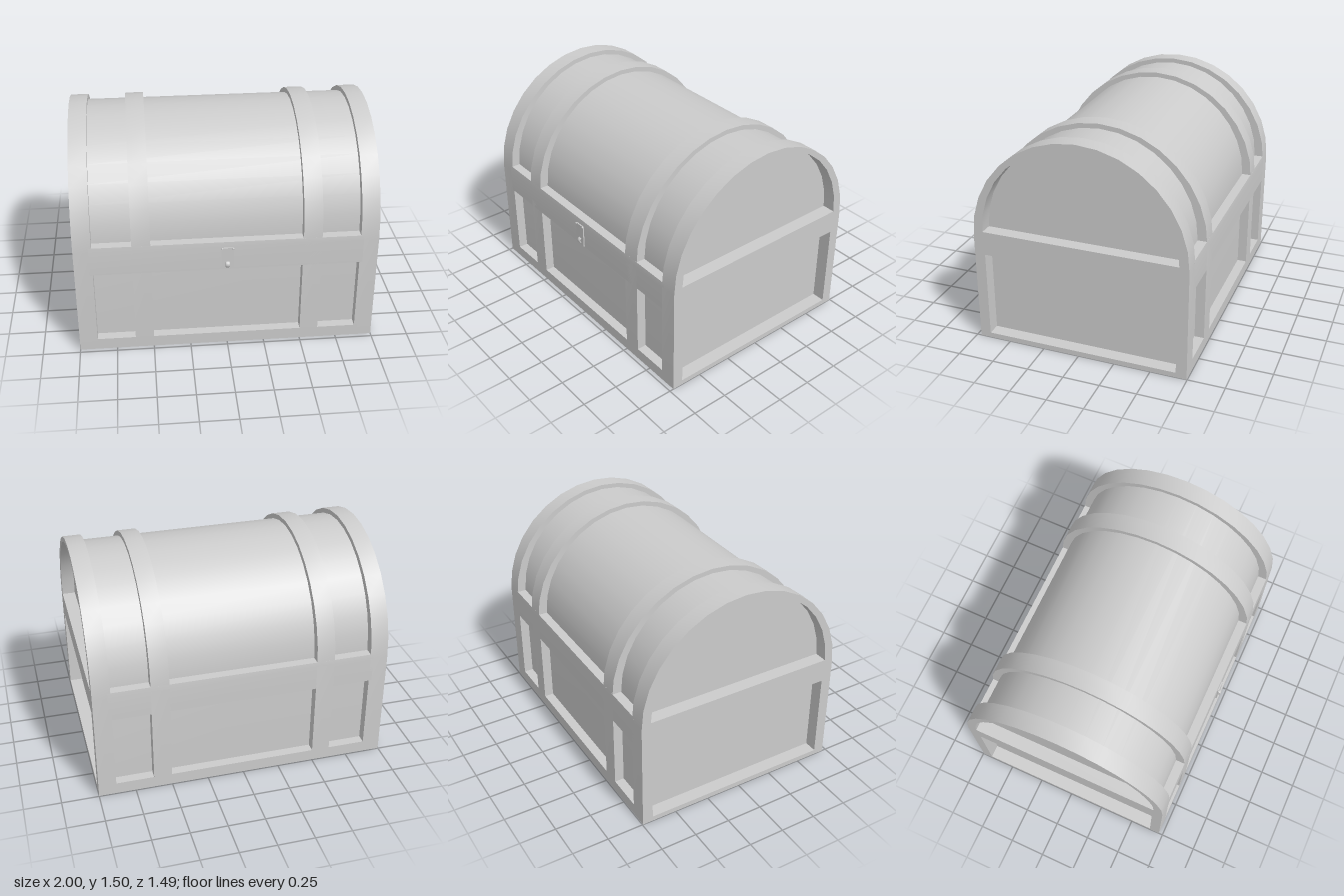
import * as THREE from 'three';
import { toCreasedNormals } from 'three/addons/utils/BufferGeometryUtils.js';

const MID_Z = -0.0125; // chest body sits slightly back to make room for the latch
const HALF = 0.733; // half depth of the frame
const CORE = 0.668; // half depth of the recessed panels

export function createModel() {
  const chest = new THREE.Group();
  chest.name = 'chest';
  const material = new THREE.MeshStandardMaterial({ color: 0xcccccc });

  function add(name, geometry, x = 0, y = 0, z = 0) {
    const mesh = new THREE.Mesh(geometry, material);
    mesh.name = name;
    mesh.position.set(x, y, z);
    chest.add(mesh);
    return mesh;
  }

  // Sixteen-sided half circle, from +z over the top to -z
  function arc(radius, centreY) {
    return Array.from({ length: 17 }, (_, i) => {
      const a = (i / 16) * Math.PI;
      return new THREE.Vector2(Math.cos(a) * radius, centreY + Math.sin(a) * radius);
    });
  }

  const points = (list) => list.map(([a, b]) => new THREE.Vector2(a, b));

  // Cross-section in the depth/height plane, pulled out along x
  function slab(name, outline, x0, x1, holes = []) {
    const shape = new THREE.Shape(outline);
    holes.forEach((hole) => shape.holes.push(new THREE.Path(hole)));
    const geometry = new THREE.ExtrudeGeometry(shape, { depth: x1 - x0, bevelEnabled: false });
    geometry.rotateY(Math.PI / 2);
    return add(name, toCreasedNormals(geometry, 0.4), x0, 0, MID_Z);
  }

  const frameOutline = [...points([[-HALF, 0], [HALF, 0]]), ...arc(HALF, 0.767)];
  const coreOutline = [...points([[-CORE, 0.01], [CORE, 0.01]]), ...arc(CORE, 0.8)];

  // Recessed panels and barrel lid
  slab('panelCore', coreOutline, -0.91, 0.91);

  // End frames with a lower panel opening and an arched lid opening
  const lowerOpening = points([[-0.66, 0.035], [0.66, 0.035], [0.66, 0.635], [-0.66, 0.635]]);
  for (const [side, x0] of [['left', 0.88], ['right', -1]]) {
    slab(side + 'EndFrame', frameOutline, x0, x0 + 0.12, [lowerOpening, arc(CORE, 0.8)]);
  }

  // Bands running over the whole chest
  for (const [side, x0] of [['left', 0.5], ['right', -0.623]]) {
    slab(side + 'Band', frameOutline, x0, x0 + 0.123);
  }

  // Rails along front and back
  slab('bottomRail', points([[-HALF, 0], [HALF, 0], [HALF, 0.08], [-HALF, 0.08]]), -0.9, 0.9);
  slab('middleRail', points([
    [-HALF, 0.595], [HALF, 0.595], [HALF, 0.767], [0.73, 0.8], [-0.73, 0.8], [-HALF, 0.767],
  ]), -0.9, 0.9);

  // Latch plate, its rivets and pull ring
  add('latchPlate', new THREE.BoxGeometry(0.08, 0.16, 0.01), 0, 0.68, 0.724);
  for (const s of [-1, 1]) {
    add('latchRivet', new THREE.SphereGeometry(0.007, 10, 8), s * 0.037, 0.755, 0.729);
  }
  const ring = add('latchRing', new THREE.TorusGeometry(0.019, 0.005, 8, 20), 0, 0.635, 0.721);
  ring.rotation.y = Math.PI / 2;
  ring.scale.z = 3;

  return chest;
}
